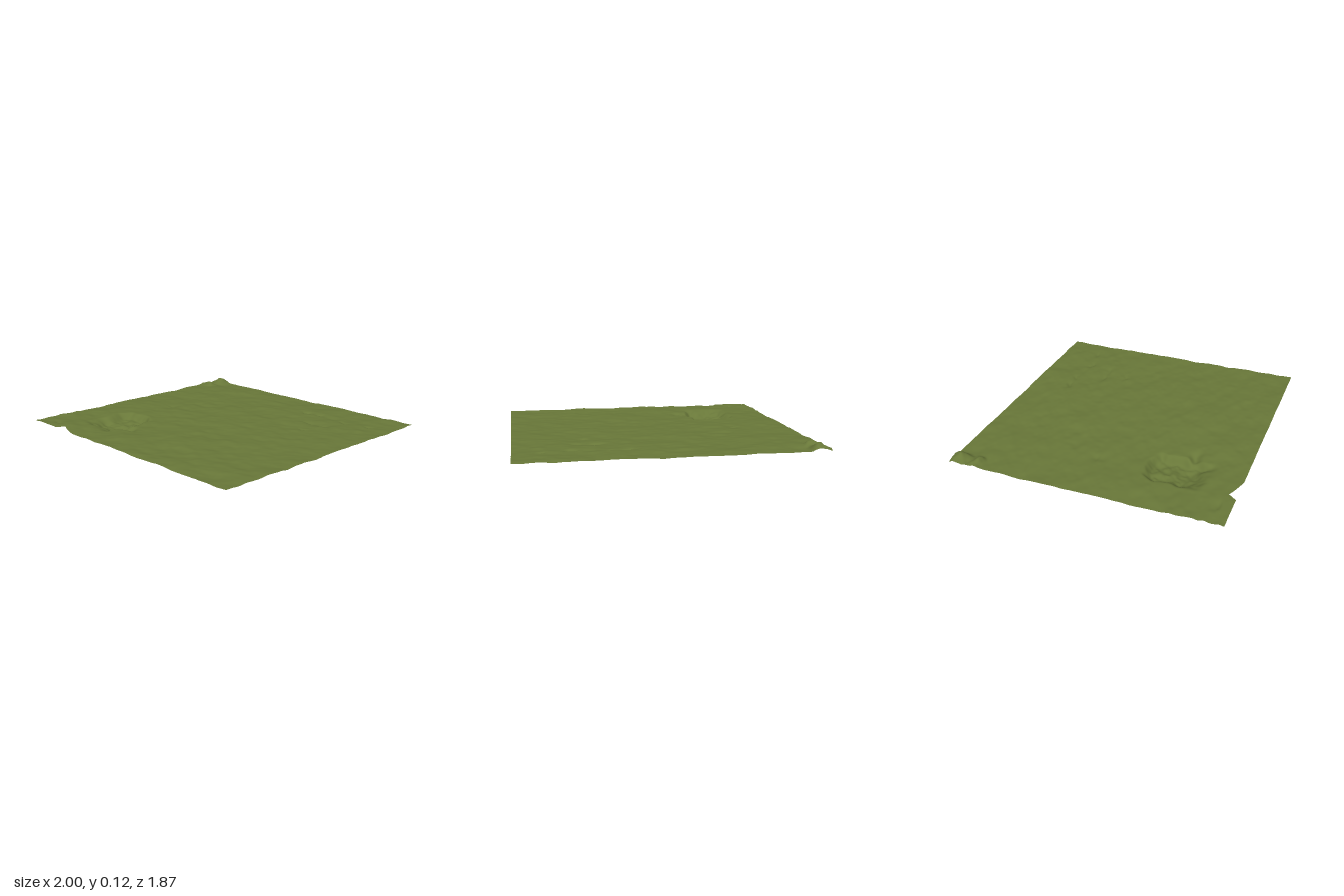
import * as THREE from 'three';

const BASE = 0.073, HALF_X = 1, HALF_Z = 0.935;
const step = THREE.MathUtils.smoothstep;

// Seeded lattice value for smooth noise
function lattice(i, j) {
  let h = Math.imul(i, 374761393) + Math.imul(j, 668265263) + 12345;
  h = Math.imul(h ^ (h >>> 13), 1274126177);
  return ((h ^ (h >>> 16)) >>> 0) / 2147483648 - 1;
}

// Smooth value noise in -1..1
function noise(x, z) {
  const i = Math.floor(x), j = Math.floor(z);
  const u = step(x - i, 0, 1), v = step(z - j, 0, 1);
  const a = THREE.MathUtils.lerp(lattice(i, j), lattice(i + 1, j), u);
  const b = THREE.MathUtils.lerp(lattice(i, j + 1), lattice(i + 1, j + 1), u);
  return THREE.MathUtils.lerp(a, b, v);
}

// Soft elliptical hump, 1 at its centre
const hump = (x, z, cx, cz, rx, rz) => Math.exp(-(((x - cx) / rx) ** 2) - ((z - cz) / rz) ** 2);

// Small broken ledges: x, z, half length, half width, depth
const ledges = [
  [0.27, -0.65, 0.05, 0.025, 0.013], [0.38, -0.65, 0.04, 0.02, 0.009],
  [0.63, -0.62, 0.04, 0.02, 0.012], [0.82, -0.66, 0.04, 0.02, 0.009],
  [0.46, -0.45, 0.06, 0.03, 0.012], [0.57, -0.44, 0.04, 0.02, 0.007],
  [0.52, -0.29, 0.04, 0.02, 0.01], [-0.6, -0.05, 0.04, 0.06, 0.013],
  [-0.82, 0.85, 0.06, 0.03, 0.01],
];

// Sunken crater: steep back wall, ragged floor sloping up to the front
function crater(x, z) {
  const wx = x + 0.015 * noise(z * 18, 7), wz = z + 0.015 * noise(x * 18, 3);
  const back = 0.275 + 1.6 * (wx + 0.55) ** 2;
  const mask = step(wx, -0.73, -0.64) * (1 - step(wx, -0.44, -0.39))
    * step(wz, back, back + 0.06) * (1 - step(wz, 0.59, 0.74));
  const floor = 0.045 + 0.008 * noise(x * 22, z * 22) + 0.005 * noise(x * 45, z * 45);
  const pool = 0.02 * hump(x, z, -0.53, 0.57, 0.08, 0.07);
  const gully = 0.034 * hump(wx, wz, -0.37, 0.56, 0.07, 0.035);
  return mask * (floor + pool) + (1 - mask) * gully;
}

// Rubble mound in the back left corner
function mound(x, z) {
  const mask = (1 - step(x, -0.91, -0.85)) * (1 - step(z, -0.74, -0.69));
  const crest = 0.038 * hump(x, z, -0.925, -0.89, 0.06, 0.06) + 0.03 * hump(x, z, -0.92, -0.75, 0.06, 0.04);
  return mask * (crest + 0.007 * noise(x * 32, z * 32));
}

function height(x, z) {
  let y = BASE + 0.005 * noise(x * 5 + 20, z * 7) + 0.0035 * noise(x * 12, z * 17 + 9)
    + 0.0012 * noise(x * 28, z * 34);
  // Slight swell on the left half
  y += 0.004 * hump(x, z, -0.5, 0.8, 0.4, 0.25);
  for (const [cx, cz, rx, rz, depth] of ledges) {
    const ragged = z + 0.012 * noise(x * 25, cz * 10);
    y -= depth * hump(x, ragged, cx, cz, rx, rz) * (1 - 0.6 * step(ragged, cz, cz + 0.008));
  }
  return y - crater(x, z) + mound(x, z);
}

// How far the front edge is eaten back at a given x
function notch(x) {
  if (x < -0.73 || x > -0.52) return 0;
  return x < -0.69 ? 0.055 * (x + 0.73) / 0.04 : 0.055 * ((-0.52 - x) / 0.17) ** 1.3;
}

export function createModel() {
  const group = new THREE.Group();
  group.name = 'terrain';

  const geometry = new THREE.PlaneGeometry(2 * HALF_X, 2 * HALF_Z, 200, 186).rotateX(-Math.PI / 2);
  const p = geometry.attributes.position;
  let lowest = Infinity;
  for (let i = 0; i < p.count; i++) {
    const x = p.getX(i);
    let z = p.getZ(i);
    // Draw the front rows back to form the notch
    z -= notch(x) * step(z, 0.78, HALF_Z);
    // Fray the front part of the left edge
    const fray = 0.008 * step(z, 0.55, 0.65) * (1 - step(x, -1, -0.95)) * Math.abs(noise(z * 20, 5));
    const y = height(x, z);
    lowest = Math.min(lowest, y);
    p.setXYZ(i, x + fray, y, z);
  }
  geometry.translate(0, -lowest, 0);
  geometry.computeVertexNormals();

  const material = new THREE.MeshStandardMaterial({ color: 0x697839, side: THREE.DoubleSide });
  const ground = new THREE.Mesh(geometry, material);
  ground.name = 'grassGround';
  group.add(ground);
  return group;
}
